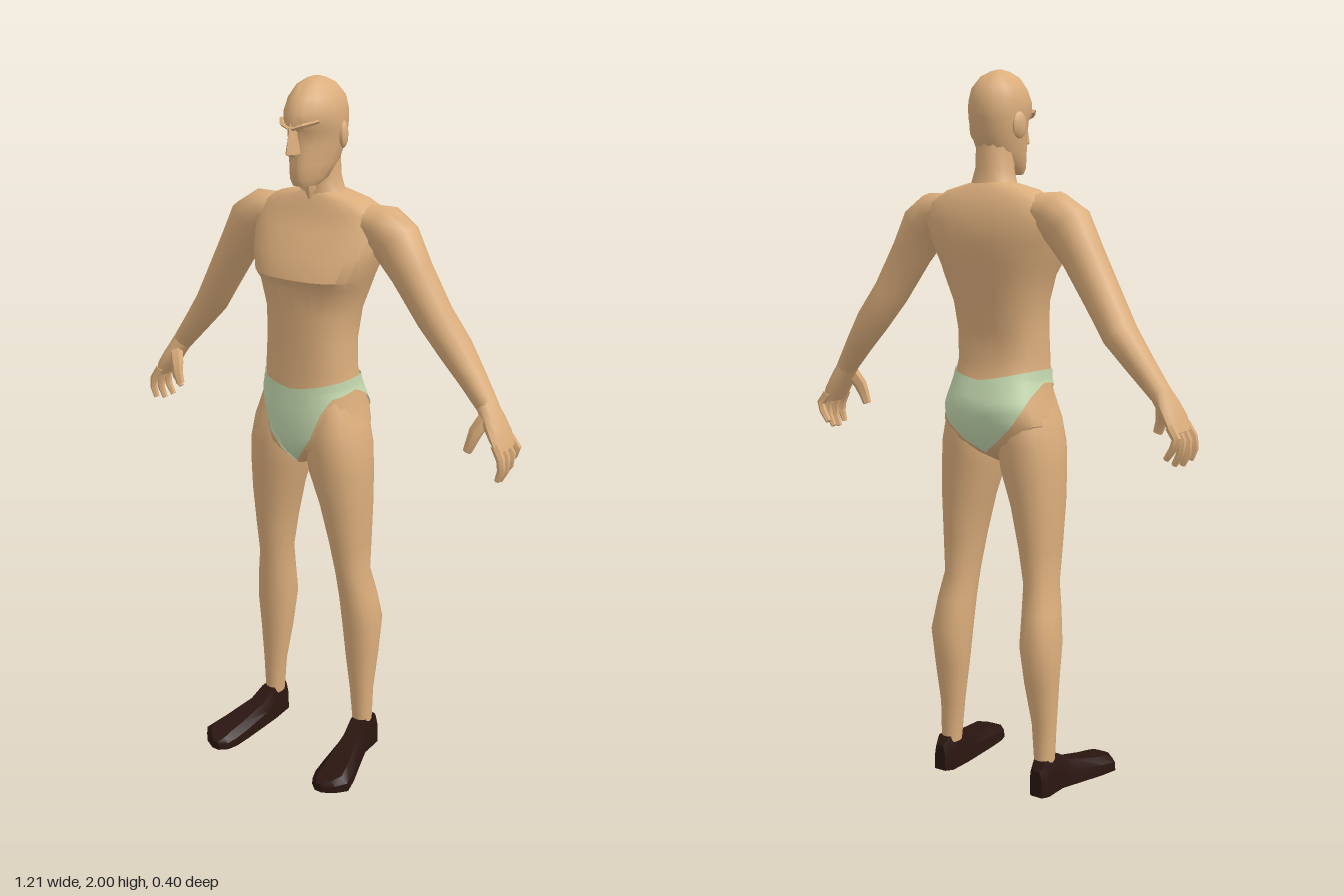
import * as THREE from 'three';
import { toCreasedNormals } from 'three/addons/utils/BufferGeometryUtils.js';

const V = (x, y, z) => new THREE.Vector3(x, y, z);
const skin = new THREE.MeshStandardMaterial({ color: 0xdcae7c });
const cloth = new THREE.MeshStandardMaterial({ color: 0xc3d8ae, side: THREE.DoubleSide });
const leather = new THREE.MeshStandardMaterial({ color: 0x2a1510 });

// Skin a list of rings; closed rings get joined round and capped at both ends
function loft(rings, closed = true) {
  const n = rings[0].length, pts = rings.flat(), index = [];
  const span = closed ? n : n - 1;
  for (let i = 0; i < rings.length - 1; i++) {
    for (let j = 0; j < span; j++) {
      const a = i * n + j, b = i * n + (j + 1) % n;
      index.push(a, b, a + n, b, b + n, a + n);
    }
  }
  if (closed) {
    [0, rings.length - 1].forEach((r, end) => {
      const centre = V(0, 0, 0);
      rings[r].forEach(p => centre.addScaledVector(p, 1 / n));
      const c = pts.push(centre) - 1;
      for (let j = 0; j < n; j++) {
        const a = r * n + j, b = r * n + (j + 1) % n;
        if (end) index.push(a, b, c); else index.push(b, a, c);
      }
    });
  }
  const geo = new THREE.BufferGeometry().setFromPoints(pts);
  geo.setIndex(index);
  return geo;
}

const bend = (v, p) => Math.sign(v) * Math.abs(v) ** (2 / p);

// Point on a level section [y, x0, x1, zBack, zFront, taper]; angle runs from +x to the back
function sectionPoint([y, x0, x1, zb, zf, taper = 0], t, p, grow = 0) {
  const c = bend(Math.cos(t), p), s = bend(Math.sin(t), p);
  const x = (x0 + x1) / 2 + c * ((x1 - x0) / 2 + grow) * (1 + taper * Math.min(s, 0));
  return V(x, y, (zb + zf) / 2 - s * ((zf - zb) / 2 + grow));
}
const stack = (rows, n = 14, p = 2) => loft(rows.map(r =>
  Array.from({ length: n }, (_, j) => sectionPoint(r, j / n * Math.PI * 2, p))));
const symmetric = rows => rows.map(([y, w, ...rest]) => [y, -w, w, ...rest]);

// Tube through points [x, y, z, thickness radius, z radius]
function limb(rows, n = 10) {
  const at = i => V(...rows[Math.max(0, Math.min(rows.length - 1, i))].slice(0, 3));
  return loft(rows.map(([, , , a, b], i) => {
    const w = at(i + 1).sub(at(i - 1)).normalize();
    const u = V(0, 0, 1).addScaledVector(w, -w.z).normalize();
    const v = w.clone().cross(u);
    return Array.from({ length: n }, (_, j) => {
      const t = j / n * Math.PI * 2;
      return at(i).addScaledVector(u, b * Math.cos(t)).addScaledVector(v, a * Math.sin(t));
    });
  }));
}

const torsoRows = symmetric([
  [0.935, 0.012, -0.07, 0.015], [0.965, 0.06, -0.13, 0.045], [1.0, 0.14, -0.16, 0.064],
  [1.05, 0.165, -0.18, 0.067], [1.1, 0.153, -0.187, 0.066], [1.17, 0.133, -0.163, 0.06],
  [1.22, 0.13, -0.143, 0.056], [1.3, 0.127, -0.148, 0.054], [1.38, 0.132, -0.166, 0.053],
  [1.455, 0.158, -0.182, 0.053], [1.48, 0.168, -0.188, 0.07], [1.54, 0.19, -0.2, 0.048],
  [1.6, 0.205, -0.198, 0.006], [1.65, 0.195, -0.182, -0.02], [1.682, 0.14, -0.165, -0.03],
  [1.7, 0.07, -0.15, -0.04],
]);
const P = 2.5;

// Torso section at any height
function torsoAt(y) {
  const i = Math.max(1, torsoRows.findIndex(r => r[0] >= y));
  const a = torsoRows[i - 1], b = torsoRows[i], k = (y - a[0]) / (b[0] - a[0]);
  return a.map((v, j) => v + (b[j] - v) * k);
}

// Briefs: a thin shell over the hips, cut high at the sides
function briefsGeometry() {
  const hem = [[0, 0.942], [0.18, 0.965], [0.3, 1.02], [0.5, 1.1], [0.85, 1.15], [1.57, 1.163],
    [2.0, 1.13], [2.5, 1.06], [2.9, 0.995], [3.15, 0.965]];
  const rings = [];
  for (let r = 0; r <= 8; r++) {
    const ring = [];
    for (let j = 0; j <= 56; j++) {
      const f = j / 56 * Math.PI * 2, away = Math.min(f, Math.PI * 2 - f);
      const i = Math.max(1, hem.findIndex(h => h[0] >= away));
      const k = (away - hem[i - 1][0]) / (hem[i][0] - hem[i - 1][0]);
      const low = THREE.MathUtils.lerp(hem[i - 1][1], hem[i][1], k);
      const y = THREE.MathUtils.lerp(low, 1.172 + 0.026 * Math.abs(Math.sin(f)), r / 8);
      ring.push(sectionPoint(torsoAt(y), f - Math.PI / 2, P, 0.004));
    }
    rings.push(ring);
  }
  return loft(rings, false);
}

// Shoe: flat-soled sections [z, xInner, xOuter, height] from heel to toe
function shoeGeometry() {
  const outline = [[1, 0], [0.96, 0.6], [0.6, 1], [-0.6, 1], [-0.96, 0.6], [-1, 0]];
  return loft([
    [-0.135, 0.15, 0.188, 0.075], [-0.115, 0.135, 0.2, 0.098], [-0.045, 0.133, 0.2, 0.102],
    [0, 0.135, 0.215, 0.072], [0.1, 0.14, 0.25, 0.05], [0.15, 0.145, 0.262, 0.042],
    [0.18, 0.155, 0.236, 0.035], [0.2, 0.178, 0.202, 0.026],
  ].map(([z, a, b, h]) => outline.map(([u, v]) => V((a + b) / 2 + u * (b - a) / 2, v * h, z))));
}

export function createModel() {
  const model = new THREE.Group();
  model.name = 'figure';

  const add = (name, geo, mat = skin, crease = 0.75) => {
    const mesh = new THREE.Mesh(toCreasedNormals(geo, crease), mat);
    mesh.name = name;
    model.add(mesh);
  };
  // Left part plus its mirror image; reversing the index keeps faces outward
  const addPair = (name, geo, mat, crease) => {
    const other = geo.clone().scale(-1, 1, 1);
    other.index.array.reverse();
    add('left' + name, geo, mat, crease);
    add('right' + name, other, mat, crease);
  };

  // Body
  add('torso', stack(torsoRows, 24, P), skin, 0.6);
  add('briefs', briefsGeometry(), cloth);
  add('neck', stack(symmetric([
    [1.65, 0.11, -0.165, -0.03], [1.695, 0.066, -0.15, -0.035], [1.74, 0.053, -0.142, -0.035],
    [1.8, 0.052, -0.14, -0.03],
  ]), 12));
  add('throat', stack(symmetric([
    [1.682, 0.004, -0.06, -0.025], [1.71, 0.016, -0.07, -0.012], [1.74, 0.012, -0.07, -0.015],
  ]), 6));

  // Head, tapering toward the face
  add('head', stack(symmetric([
    [1.725, 0.034, -0.05, 0.032, 0.3], [1.742, 0.048, -0.09, 0.042, 0.35],
    [1.78, 0.059, -0.132, 0.042, 0.35], [1.83, 0.07, -0.152, 0.04, 0.35],
    [1.868, 0.075, -0.16, 0.042, 0.35], [1.885, 0.077, -0.163, 0.06, 0.35],
    [1.915, 0.077, -0.162, 0.057, 0.3], [1.95, 0.068, -0.152, 0.036, 0.25],
    [1.98, 0.046, -0.125, 0.006, 0.15], [1.995, 0.022, -0.092, -0.03], [2.0, 0.005, -0.07, -0.05],
  ]), 18, 2.2));
  add('nose', stack(symmetric([
    [1.803, 0.014, 0, 0.055], [1.812, 0.016, 0, 0.077], [1.85, 0.011, 0, 0.07],
    [1.89, 0.008, 0, 0.06],
  ]), 8), skin, 0.4);
  addPair('Brow', limb([[0.002, 1.876, 0.05, 0.006, 0.014], [0.028, 1.884, 0.044, 0.007, 0.014],
    [0.054, 1.893, 0.01, 0.005, 0.012]], 6), skin, 0.3);
  addPair('Ear', new THREE.SphereGeometry(1, 10, 6).scale(0.011, 0.036, 0.023)
    .rotateY(0.25).translate(0.074, 1.852, -0.08));

  // Arms
  addPair('Arm', limb([
    [0.14, 1.63, -0.1, 0.045, 0.06], [0.19, 1.618, -0.096, 0.064, 0.068],
    [0.235, 1.585, -0.092, 0.07, 0.066], [0.285, 1.508, -0.094, 0.057, 0.06],
    [0.355, 1.395, -0.102, 0.05, 0.055], [0.412, 1.312, -0.118, 0.045, 0.056],
    [0.465, 1.245, -0.115, 0.037, 0.045], [0.525, 1.168, -0.108, 0.028, 0.034],
  ], 12), skin, 0.9);

  // Hands: palm, four curled fingers, thumb
  addPair('Palm', limb([
    [0.515, 1.182, -0.108, 0.029, 0.034], [0.543, 1.14, -0.102, 0.026, 0.046],
    [0.565, 1.105, -0.1, 0.021, 0.054], [0.583, 1.07, -0.1, 0.014, 0.052],
  ], 10), skin, 0.9);
  for (let i = 0; i < 4; i++) {
    const z = -0.058 - i * 0.028, drop = [0.01, 0, 0.004, 0.022][i];
    const spread = (1.5 - i) * 0.004, curl = i * 0.007;
    addPair('Finger' + (i + 1), limb([
      [0.572, 1.09, z, 0.013, 0.013], [0.593, 1.05 + drop / 2, z + spread, 0.012, 0.012],
      [0.596 - curl / 2, 1.015 + drop, z + spread, 0.011, 0.011],
      [0.586 - curl, 0.985 + drop, z + spread, 0.008, 0.009],
    ], 6));
  }
  addPair('Thumb', limb([
    [0.53, 1.155, -0.085, 0.022, 0.02], [0.51, 1.115, -0.065, 0.02, 0.018],
    [0.502, 1.085, -0.057, 0.016, 0.014], [0.492, 1.057, -0.056, 0.013, 0.012],
  ], 6));

  // Legs and shoes
  addPair('Leg', stack([
    [0.08, 0.137, 0.19, -0.115, -0.05], [0.2, 0.125, 0.195, -0.115, -0.045],
    [0.32, 0.108, 0.203, -0.137, -0.035], [0.43, 0.098, 0.209, -0.155, -0.022],
    [0.52, 0.096, 0.196, -0.138, -0.01], [0.6, 0.092, 0.18, -0.12, 0.002],
    [0.7, 0.076, 0.183, -0.128, 0.02], [0.82, 0.05, 0.187, -0.138, 0.04],
    [0.92, 0.016, 0.187, -0.147, 0.055], [0.99, 0.006, 0.182, -0.152, 0.062],
    [1.06, 0.01, 0.166, -0.15, 0.058], [1.14, 0.03, 0.135, -0.12, 0.04],
  ], 16, 2.2), skin, 0.9);
  addPair('Shoe', shoeGeometry(), leather, 0.6);

  return model;
}
